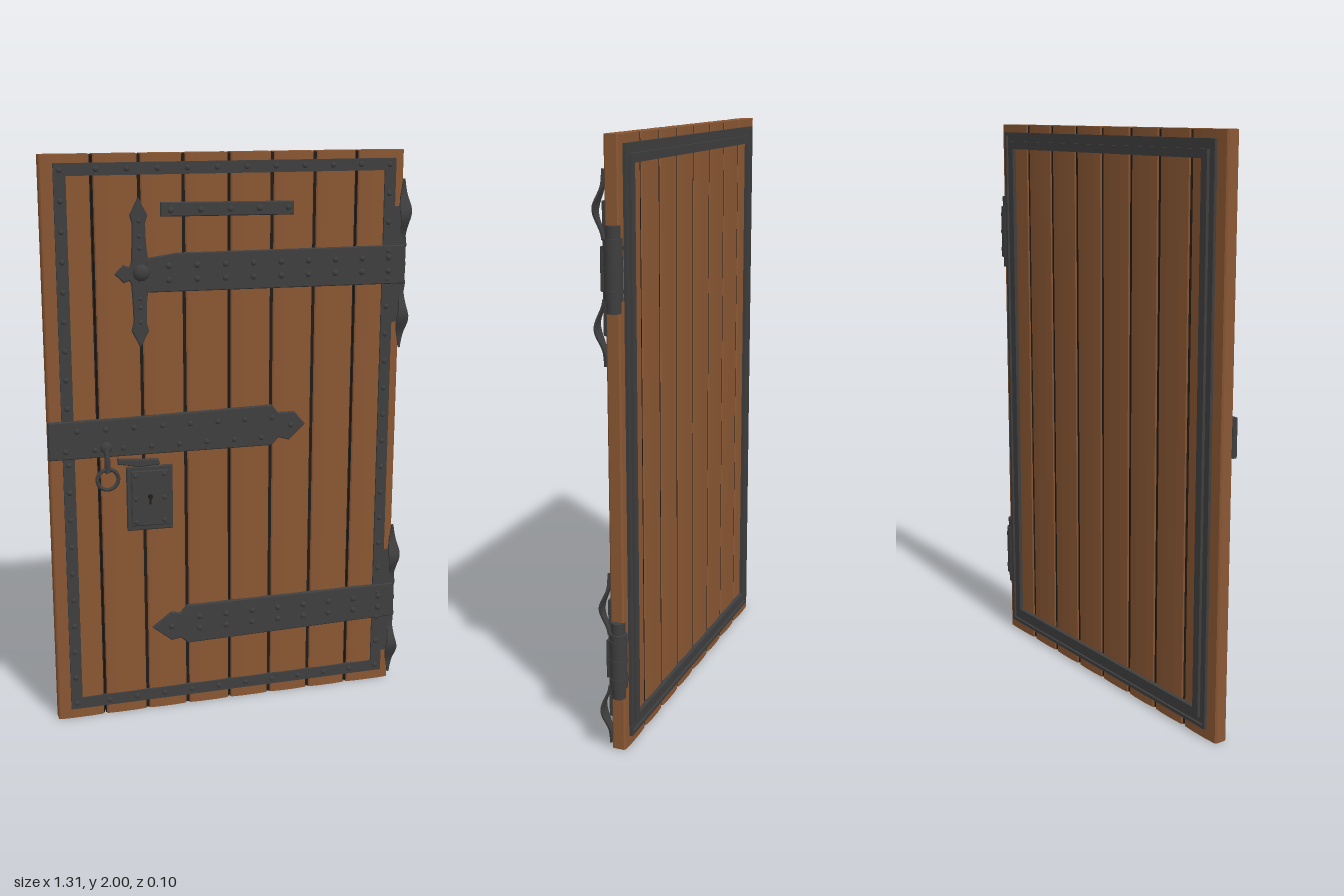
import * as THREE from 'three';
import { mergeGeometries } from 'three/addons/utils/BufferGeometryUtils.js';

const mat = (name, color) => {
  const m = new THREE.MeshStandardMaterial({ color });
  m.name = name;
  return m;
};

export function createModel() {
  const door = new THREE.Group();
  door.name = 'door';
  const wood = mat('wood', 0x8a5733);
  const iron = mat('iron', 0x3e3e3f);
  const dark = mat('shadowGap', 0x1f1b18);

  const add = (name, geo, material = iron) => {
    const mesh = new THREE.Mesh(geo, material);
    mesh.name = name;
    door.add(mesh);
    return mesh;
  };
  // Box given by its limits on each axis
  const block = (x0, x1, y0, y1, z0, z1) =>
    new THREE.BoxGeometry(x1 - x0, y1 - y0, z1 - z0)
      .translate((x0 + x1) / 2, (y0 + y1) / 2, (z0 + z1) / 2);
  // Flat iron plate cut to an outline, with a small bevel
  const plate = (name, pts, z0, z1) => {
    const b = 0.003;
    const shape = new THREE.Shape(pts.map(p => new THREE.Vector2(...p)));
    const geo = new THREE.ExtrudeGeometry(shape, {
      depth: z1 - z0 - b, bevelSize: b, bevelThickness: b, bevelOffset: -b, bevelSegments: 1,
    });
    return add(name, geo.translate(0, 0, z0));
  };
  // Domed rivet heads at [x, y] points
  const rivets = (name, pts, z, r = 0.011) =>
    add(name, mergeGeometries(pts.map(([x, y]) =>
      new THREE.SphereGeometry(r, 10, 4, 0, Math.PI * 2, 0, Math.PI / 2)
        .rotateX(Math.PI / 2).scale(1, 1, 0.7).translate(x, y, z))));
  const row = (a, b, n, f) => Array.from({ length: n }, (_, i) => f(a + (b - a) * i / (n - 1)));

  // Planks: slightly crowned boards with chamfered long edges
  const joints = [-0.655, -0.484, -0.325, -0.173, -0.013, 0.14, 0.294, 0.447, 0.622];
  for (let i = 0; i < 8; i++) {
    const a = joints[i] + (i ? 0.005 : 0), b = joints[i + 1] - (i < 7 ? 0.005 : 0);
    const c = 0.005, w = b - a;
    const front = [[a, -0.004], [a + c, -0.009], [a + w * 0.3, -0.0115], [a + w * 0.7, -0.0115], [b - c, -0.009], [b, -0.004]];
    const back = front.map(([x, z]) => [x, 0.029 - z]).reverse();
    const shape = new THREE.Shape([...front, ...back].map(p => new THREE.Vector2(...p)));
    add('plank', new THREE.ExtrudeGeometry(shape, { depth: 2, bevelEnabled: false }).rotateX(-Math.PI / 2), wood);
  }
  // Dark joints between planks; a few are open slits
  for (let i = 1; i < 8; i++) {
    const x = joints[i], slit = [1, 4, 7].includes(i) ? 0.002 : 0;
    for (const s of [-1, 1]) {
      const p = x + s * slit, q = x + s * 0.0055;
      add('joint', block(Math.min(p, q), Math.max(p, q), 0.003, 1.997, -0.034, 0.005), dark);
    }
  }

  // Rectangular border made of four bars
  const border = (name, x0, x1, y0, y1, w, z0, z1) => {
    add(name, mergeGeometries([
      block(x0, x0 + w, y0, y1, z0, z1), block(x1 - w, x1, y0, y1, z0, z1),
      block(x0 + w, x1 - w, y0, y0 + w, z0, z1), block(x0 + w, x1 - w, y1 - w, y1, z0, z1),
    ]));
  };
  border('frontBorder', -0.61, 0.59, 0.037, 1.972, 0.041, 0.006, 0.018);
  border('backBorderBase', -0.61, 0.59, 0.037, 1.972, 0.06, -0.043, -0.036);
  border('backBorderLip', -0.61, 0.59, 0.037, 1.972, 0.012, -0.051, -0.036);
  border('backBorderRail', -0.578, 0.558, 0.069, 1.94, 0.028, -0.054, -0.036);
  const sideY = row(0.06, 1.95, 20, y => y);
  rivets('borderRivets', [
    ...sideY.flatMap(y => [[-0.59, y], [0.567, y]]),
    ...row(-0.47, 0.46, 10, x => x).flatMap(x => [[x, 0.058], [x, 1.952]]),
  ], 0.018, 0.01);

  // Upper strap with a cross-shaped spear end
  plate('upperStrap', [[-0.31, 1.54], [0.63, 1.533], [0.63, 1.67], [-0.2, 1.67], [-0.31, 1.655]], 0.008, 0.022);
  const spear = [[0, 0.253], [0.014, 0.225], [0.03, 0.195], [0.022, 0.165], [0.024, 0.1], [0.03, 0.05]];
  const half = [...spear, ...spear.map(([x, y]) => [x, -y]).reverse()];
  plate('upperSpear', [
    ...half.map(([x, y]) => [-0.33 + x, 1.605 + y]),
    ...[-0.195, -0.165, -0.1, -0.035].map((y, i) => [-0.33 - [0.03, 0.022, 0.024, 0.028][i], 1.605 + y]),
    [-0.365, 1.582], [-0.385, 1.575], [-0.415, 1.605], [-0.385, 1.635], [-0.365, 1.628],
    ...[0.035, 0.1, 0.165, 0.195].map((y, i) => [-0.33 - [0.028, 0.024, 0.022, 0.03][i], 1.605 + y]),
  ].reverse(), 0.007, 0.021);
  rivets('upperStrapRivets', row(-0.23, 0.57, 9, x => x).flatMap(x => [[x, 1.58], [x, 1.628]]), 0.022);
  rivets('spearRivets', [1.49, 1.44, 1.52, 1.69, 1.73, 1.78].map(y => [-0.33, y]), 0.021, 0.008);
  rivets('strapBoss', [[-0.325, 1.608]], 0.02, 0.03);

  // Short bar near the top
  plate('topBar', [[-0.255, 1.792], [0.215, 1.787], [0.215, 1.834], [-0.255, 1.84]], 0.008, 0.02);
  rivets('topBarRivets', row(-0.22, 0.195, 5, x => [x, 1.813]), 0.02);

  // Middle strap with an arrowhead
  plate('middleStrap', [
    [-0.658, 0.977], [0.14, 0.973], [0.165, 1.0], [0.205, 0.988], [0.265, 1.043],
    [0.225, 1.09], [0.165, 1.09], [0.14, 1.12], [-0.4, 1.11], [-0.658, 1.11],
  ], 0.008, 0.026);
  rivets('middleStrapRivets', [
    ...row(-0.6, 0.1, 8, x => x).flatMap(x => [[x, 1.005], [x + 0.04, 1.075]]), [0.21, 1.043],
  ], 0.026, 0.01);

  // Lower strap with an arrowhead
  plate('lowerStrap', [
    [-0.305, 0.32], [-0.235, 0.263], [-0.2, 0.268], [-0.175, 0.245], [0.63, 0.258],
    [0.63, 0.39], [-0.175, 0.392], [-0.2, 0.365], [-0.235, 0.372],
  ], 0.008, 0.022);
  rivets('lowerStrapRivets', [
    ...row(-0.13, 0.57, 8, x => x).flatMap(x => [[x, 0.3], [x, 0.345]]), [-0.235, 0.318],
  ], 0.022);

  // Lock box with keyhole and hasp
  plate('lockPlate', [[-0.39, 0.698], [-0.225, 0.695], [-0.225, 0.93], [-0.39, 0.932]], 0.008, 0.022);
  plate('lockCover', [[-0.375, 0.715], [-0.24, 0.712], [-0.24, 0.915], [-0.375, 0.917]], 0.018, 0.027);
  rivets('lockRivets', [0.73, 0.815, 0.9].flatMap(y => [[-0.36, y], [-0.257, y]]), 0.027, 0.009);
  add('keyhole', new THREE.CylinderGeometry(0.009, 0.009, 0.004, 12).rotateX(Math.PI / 2).translate(-0.308, 0.82, 0.027), dark);
  add('keyholeSlot', block(-0.312, -0.304, 0.793, 0.82, 0.024, 0.029), dark);
  plate('hasp', [[-0.42, 0.945], [-0.34, 0.93], [-0.27, 0.935], [-0.275, 0.955], [-0.34, 0.957], [-0.42, 0.965]], 0.008, 0.024);

  // Pull handle: boss, stem and ring
  rivets('handleBoss', [[-0.46, 1.01]], 0.024, 0.022);
  add('handleStem', new THREE.TubeGeometry(new THREE.CatmullRomCurve3([
    new THREE.Vector3(-0.46, 1.01, 0.03), new THREE.Vector3(-0.46, 0.97, 0.04), new THREE.Vector3(-0.46, 0.925, 0.04),
  ]), 8, 0.01, 8));
  add('handleRing', new THREE.TorusGeometry(0.037, 0.007, 8, 24).translate(-0.46, 0.9, 0.04));
  rivets('handleKnob', [[-0.46, 0.935]], 0.038, 0.015);

  // Hinges: barrel, collars, backing plate and two curved leaves
  for (const y of [1.6, 0.322]) {
    const drum = (r, h, dy = 0) => new THREE.CylinderGeometry(r, r, h, 20).translate(0.62, y + dy, -0.018);
    add('hingeBarrel', drum(0.029, 0.19));
    add('hingePin', drum(0.023, 0.266));
    add('hingeCollars', mergeGeometries([-0.066, 0, 0.066].map(d => drum(0.031, 0.012, d))));
    add('hingePlate', block(0.585, 0.622, y - 0.205, y + 0.205, 0.006, 0.016));
    for (const s of [-1, 1]) {
      const width = new THREE.SplineCurve([[0, 0.02], [0.2, 0.026], [0.42, 0.044], [0.7, 0.024], [1, 0.006]].map(p => new THREE.Vector2(...p)));
      const leaf = new THREE.BoxGeometry(1, 1, 0.007, 2, 14, 1);
      const p = leaf.attributes.position;
      for (let i = 0; i < p.count; i++) {
        const t = p.getY(i) + 0.5;
        const u = s > 0 ? t : 1 - t;
        const bulge = 0.026 * Math.sin(Math.PI * Math.min(u / 0.82, 1)) ** 2;
        p.setXYZ(i, 0.625 + p.getX(i) * width.getPoint(u).y,
          y + s * (0.09 + 0.21 * u), 0.01 + bulge + p.getZ(i));
      }
      leaf.computeVertexNormals();
      add('hingeLeaf', leaf);
    }
  }
  return door;
}
